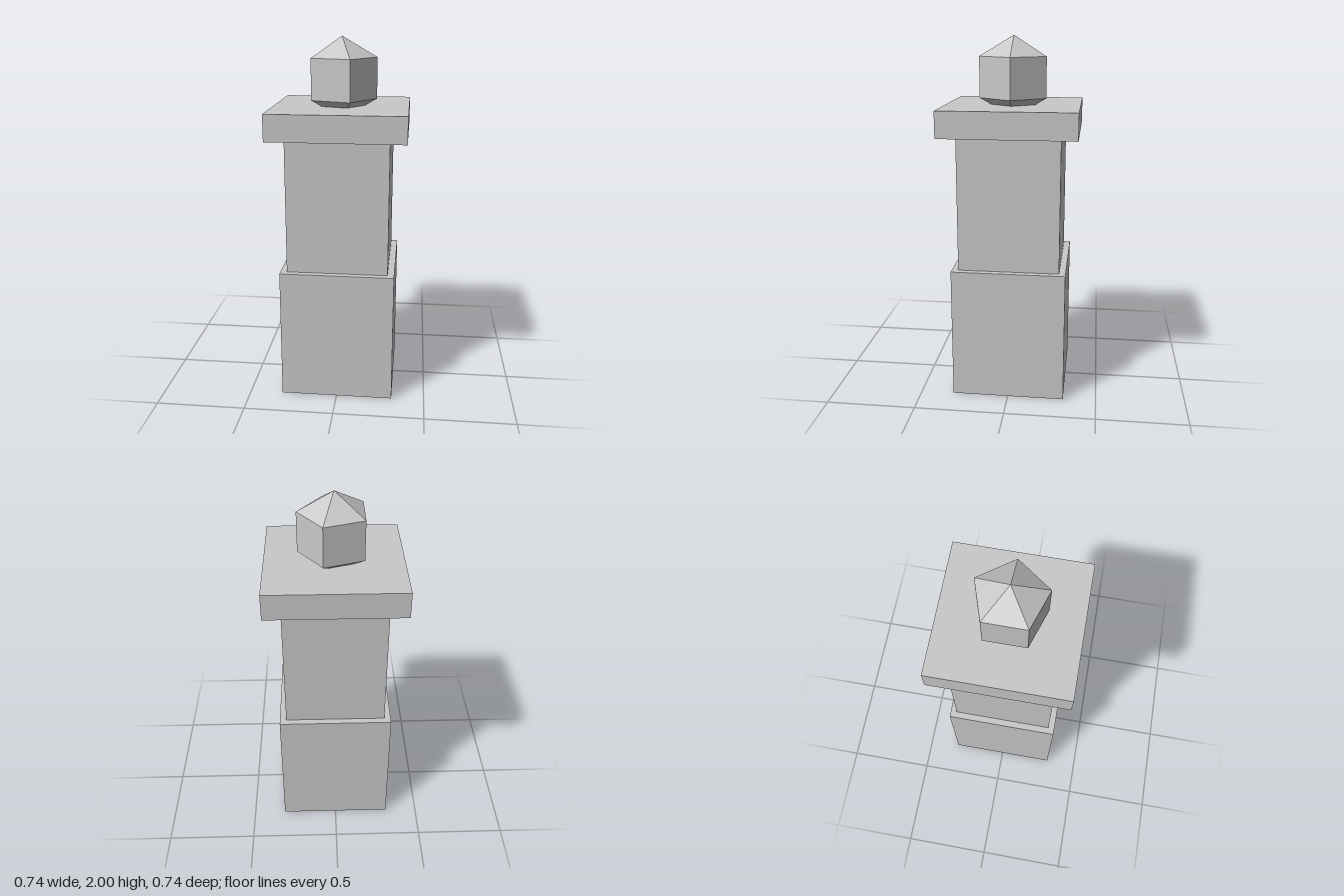
import * as THREE from 'three';

export function createModel() {
  const group = new THREE.Group();
  const stone = new THREE.MeshStandardMaterial({ color: 0xc8c8c8, flatShading: true });
  stone.name = 'pale grey stone';

  const add = (name, geometry, y) => {
    const mesh = new THREE.Mesh(geometry, stone);
    mesh.name = name;
    mesh.position.y = y;
    group.add(mesh);
  };

  // Square blocks stacked from the ground up: name, width, bottom, top
  const blocks = [
    ['base', 0.63, 0, 0.741],
    ['shaft', 0.558, 0.741, 1.486],
    ['capSlab', 0.739, 1.486, 1.63],
  ];
  for (const [name, width, bottom, top] of blocks) {
    add(name, new THREE.BoxGeometry(width, top - bottom, width), (bottom + top) / 2);
  }

  // Five-sided faceted ball, sunk slightly into the slab, with a corner towards +x
  const radius = 0.222;
  add('finial', new THREE.SphereGeometry(radius, 5, 3, Math.PI), 2 - radius);

  return group;
}
